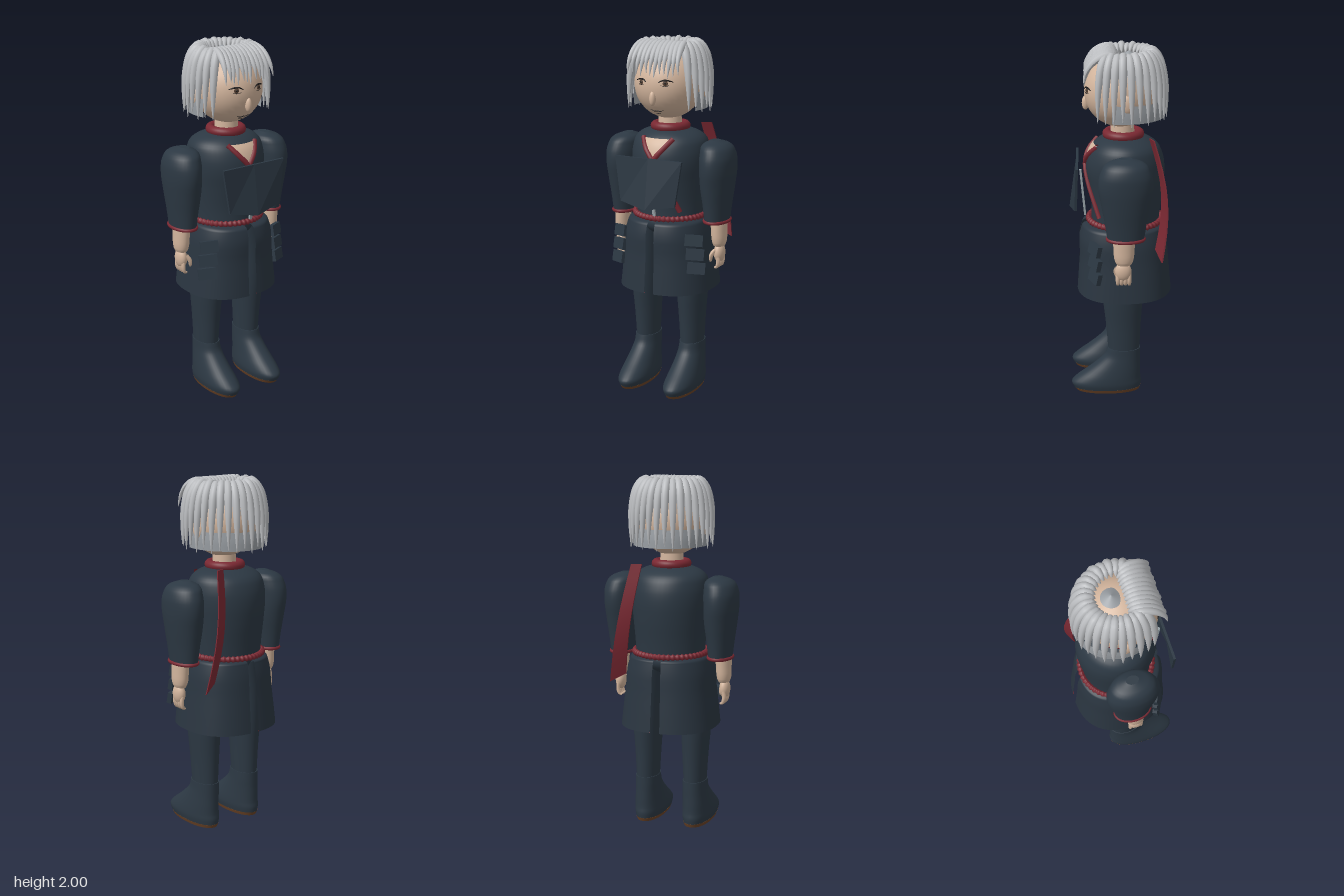
import * as THREE from 'three';

const mat = (name, color, side = THREE.FrontSide) => {
  const m = new THREE.MeshStandardMaterial({ color, side });
  m.name = name;
  return m;
};
const V = (x, y, z) => new THREE.Vector3(x, y, z);

// cubic interpolation through cross-sections [y, cx, cz, rx, rz], listed bottom to top
const profile = (secs) => {
  const it = new THREE.CubicInterpolant(secs.map((s) => s[0]), secs.flatMap((s) => s.slice(1)), 4);
  return (y) => Array.from(it.evaluate(y));
};

// skin a stack of (super)elliptical cross-sections; angle 0 faces +z
function loft(secs, { a0 = 0, a1 = Math.PI * 2, e = 2, n = 36, k = 4 } = {}) {
  const at = profile(secs), full = a1 - a0 > 6.28, cols = full ? n : n + 1;
  const pos = [], idx = [], rows = (secs.length - 1) * k;
  const bend = (v) => Math.sign(v) * Math.abs(v) ** (2 / e);
  for (let i = 0; i <= rows; i++) {
    const s = Math.min(Math.floor(i / k), secs.length - 2);
    const y = THREE.MathUtils.lerp(secs[s][0], secs[s + 1][0], i / k - s);
    const [cx, cz, rx, rz] = at(y);
    for (let j = 0; j < cols; j++) {
      const a = a0 + (a1 - a0) * j / n;
      pos.push(cx + rx * bend(Math.sin(a)), y, cz + rz * bend(Math.cos(a)));
    }
  }
  for (let i = 0; i < rows; i++) for (let j = 0; j < n; j++) {
    const p = i * cols + j, q = i * cols + (j + 1) % cols;
    idx.push(p, q, q + cols, p, q + cols, p + cols);
  }
  // flat end caps on closed lofts
  if (full) for (const top of [false, true]) {
    const src = top ? rows * cols : 0, base = pos.length / 3, [cx, cz] = at(pos[src * 3 + 1]);
    pos.push(cx, pos[src * 3 + 1], cz);
    for (let j = 0; j < n; j++) pos.push(...pos.slice((src + j) * 3, (src + j) * 3 + 3));
    for (let j = 0; j < n; j++) {
      const p = base + 1 + j, q = base + 1 + (j + 1) % n;
      idx.push(base, top ? p : q, top ? q : p);
    }
  }
  const g = new THREE.BufferGeometry();
  g.setAttribute('position', new THREE.Float32BufferAttribute(pos, 3));
  g.setIndex(idx);
  g.computeVertexNormals();
  return g;
}

// tube whose radius varies along its length
function tube(points, r, f = null, { seg = 16, sides = 8, closed = false } = {}) {
  const curve = new THREE.CatmullRomCurve3(points, closed);
  const g = new THREE.TubeGeometry(curve, seg, r, sides, closed);
  if (f) {
    const p = g.attributes.position, v = V(0, 0, 0);
    for (let i = 0; i < p.count; i++) {
      const t = Math.floor(i / (sides + 1)) / seg, c = curve.getPointAt(t);
      v.fromBufferAttribute(p, i).sub(c).multiplyScalar(f(t)).add(c);
      p.setXYZ(i, v.x, v.y, v.z);
    }
    g.computeVertexNormals();
  }
  return g;
}
const ellipse = (cx, y, cz, rx, rz, n = 24) => Array.from({ length: n }, (_, i) =>
  V(cx + rx * Math.sin(i / n * Math.PI * 2), y, cz + rz * Math.cos(i / n * Math.PI * 2)));

export function createModel() {
  const root = new THREE.Group();
  const cloth = mat('dark cloth', 0x2c3843), skirtCloth = mat('skirt cloth', 0x2a3540, THREE.DoubleSide);
  const red = mat('red trim', 0x7a2832, THREE.DoubleSide), skin = mat('skin', 0xd3b59d);
  const hair = mat('silver hair', 0xbcbec1), underHair = mat('under hair', 0x9a9fa4, THREE.DoubleSide);
  const sole = mat('sole brown', 0x6a4327), ink = mat('ink', 0x1d1a1a), iris = mat('iris brown', 0x5a4436);
  const steel = mat('steel', 0x98a3a8);
  const add = (name, geo, m, parent = root) => {
    const mesh = new THREE.Mesh(geo, m);
    mesh.name = name;
    parent.add(mesh);
    return mesh;
  };
  const ball = (name, m, x, y, z, rx, ry, rz) => {
    const b = add(name, new THREE.SphereGeometry(1, 32, 24), m);
    b.position.set(x, y, z);
    b.scale.set(rx, ry, rz);
    return b;
  };

  // torso
  const torso = [[1.0, 0, -.025, .195, .19], [1.1, 0, -.03, .2, .195], [1.22, 0, -.03, .21, .21],
    [1.33, 0, -.025, .22, .22], [1.41, 0, -.025, .215, .205], [1.46, 0, -.025, .195, .175],
    [1.49, 0, -.02, .15, .13], [1.51, 0, -.015, .08, .08]];
  add('torso', loft(torso, { n: 48 }), cloth);
  const torsoAt = profile(torso);
  const torsoZ = (x, y) => {
    const [, cz, rx, rz] = torsoAt(y);
    return cz + rz * Math.sqrt(Math.max(0, 1 - (x / rx) ** 2));
  };
  ball('hips', cloth, 0, .97, -.01, .19, .085, .14);
  add('neck', new THREE.CylinderGeometry(.062, .068, .14, 32).translate(0, 1.55, -.01), skin);
  add('collar', tube(ellipse(0, 1.515, -.015, .085, .09), .026, null, { seg: 48, sides: 12, closed: true }), red);

  // open neckline and crossing lapels
  const neckline = new THREE.PlaneGeometry(2, 1, 10, 8), np = neckline.attributes.position;
  for (let i = 0; i < np.count; i++) {
    const v = np.getY(i) + .5, x = np.getX(i) * .085 * v, y = 1.355 + .11 * v;
    np.setXYZ(i, x, y, torsoZ(x, y) + .005);
  }
  neckline.computeVertexNormals();
  add('neckline', neckline, skin);
  const onChest = (pts) => pts.map(([x, y]) => V(x, y, torsoZ(x, y) + .004));
  add('longLapel', tube(onChest([[-.092, 1.465], [-.05, 1.41], [0, 1.35], [.05, 1.25], [.095, 1.15], [.13, 1.06]]), .014), red);
  add('shortLapel', tube(onChest([[.092, 1.465], [.05, 1.41], [.01, 1.36], [-.02, 1.31]]), .014), red);

  // keeled chest plate with the bar behind it
  const plate = new THREE.BoxGeometry(.41, .25, .014, 2, 1, 1), pp = plate.attributes.position;
  for (let i = 0; i < pp.count; i++) {
    const mid = Math.abs(pp.getX(i)) < .01, low = pp.getY(i) < 0;
    if (low) pp.setXYZ(i, pp.getX(i) * .82, mid ? -.155 : -.125, pp.getZ(i) + (mid ? .04 : .01));
  }
  const flatPlate = plate.toNonIndexed();
  flatPlate.computeVertexNormals();
  add('chestPlate', flatPlate.translate(0, 1.245, .242), cloth);
  const bar = add('chestBar', new THREE.BoxGeometry(.016, .27, .012), steel);
  bar.position.set(.012, 1.175, .213);
  bar.rotation.x = .09;

  // twisted waist cord
  add('waistCord', tube(ellipse(0, 1.02, -.025, .203, .205), .016,
    (t) => 1 + .18 * Math.sin(t * Math.PI * 2 * 50), { seg: 300, closed: true }), red);

  // ribbon hanging down the back
  const ribbon = new THREE.BoxGeometry(1, 1, .008, 1, 8, 1), rp = ribbon.attributes.position;
  for (let i = 0; i < rp.count; i++) {
    const t = .5 - rp.getY(i), w = rp.getX(i) * (.06 + .03 * t);
    rp.setXYZ(i, .15 + .1 * t + w * .92, 1.52 - .64 * t - w * .5 * t,
      -.165 - .04 * t - .05 * Math.sin(t * Math.PI) - w * .35 + rp.getZ(i));
  }
  ribbon.computeVertexNormals();
  add('backRibbon', ribbon, red);

  // mirrored limbs, skirt halves and pouches
  for (const s of [1, -1]) {
    const side = s > 0 ? 'left' : 'right';
    const gap = .065, range = s > 0 ? [gap, Math.PI - gap] : [gap - Math.PI, -gap];
    const skirt = [[.6, 0, -.02, .275, .27], [.8, 0, -.018, .252, .253], [.985, 0, -.015, .225, .235],
      [1.0, 0, -.018, .215, .225], [1.012, 0, -.02, .19, .19]];
    add(side + 'Skirt', loft(skirt, { a0: range[0], a1: range[1], e: 2.4, n: 40 }), skirtCloth);
    const hem = Array.from({ length: 25 }, (_, i) => {
      const a = range[0] + (range[1] - range[0]) * i / 24, b = (v) => Math.sign(v) * Math.abs(v) ** (2 / 2.4);
      return V(.271 * b(Math.sin(a)), .602, -.02 + .266 * b(Math.cos(a)));
    });
    add(side + 'HemTrim', tube(hem, .003, null, { seg: 48, sides: 6 }), red);

    const m = (secs) => secs.map(([y, cx, ...r]) => [y, cx * s, ...r]);
    add(side + 'Sleeve', loft(m([[1.0, .293, -.02, .064, .1], [1.1, .293, -.02, .075, .115], [1.2, .293, -.02, .088, .133],
      [1.31, .296, -.02, .094, .148], [1.39, .292, -.02, .09, .132], [1.435, .282, -.02, .068, .095],
      [1.455, .275, -.02, .025, .035]])), cloth);
    add(side + 'Cuff', tube(ellipse(.293 * s, 1.003, -.02, .064, .1), .01, null, { seg: 40, closed: true }), red);
    add(side + 'Forearm', loft(m([[.86, .312, -.01, .03, .04], [.88, .312, -.01, .038, .05],
      [.95, .31, -.01, .043, .058], [1.02, .307, -.012, .045, .06]]), { n: 24 }), skin);

    // hand
    ball(side + 'Palm', skin, .316 * s, .82, -.006, .03, .056, .045);
    for (let i = 0; i < 4; i++) {
      const z = .024 - i * .021;
      add(side + 'Finger', tube([V(.318 * s, .81, z), V(.322 * s, .77, z), V(.312 * s, .74, z), V(.298 * s, .737, z)],
        .012, (t) => 1 - .6 * t ** 5, { seg: 10 }), skin);
    }
    add(side + 'Thumb', tube([V(.305 * s, .84, .025), V(.285 * s, .81, .035), V(.278 * s, .77, .03)],
      .013, (t) => 1 - .6 * t ** 4, { seg: 10 }), skin);

    // leg, boot and sole
    add(side + 'Leg', loft(m([[.25, .145, -.015, .063, .09], [.42, .145, -.012, .072, .1],
      [.6, .146, -.008, .084, .115], [.8, .14, -.008, .09, .122], [.96, .12, -.01, .09, .125]])), cloth);
    add(side + 'Boot', loft(m([[.018, .147, .083, .082, .195], [.05, .147, .087, .088, .203], [.08, .147, .075, .087, .187],
      [.13, .147, .042, .08, .153], [.18, .146, .012, .073, .122], [.22, .145, -.007, .069, .103],
      [.27, .145, -.015, .067, .095]]), { e: 2.15 }), cloth);
    add(side + 'Sole', loft(m([[0, .147, .08, .076, .185], [.02, .147, .083, .083, .196]]), { e: 2.15 }), sole);

    // three stacked pouches
    for (let i = 0; i < 3; i++) {
      const pouch = add(side + 'Pouch', new THREE.BoxGeometry(.1, .063, .028), cloth);
      pouch.position.set((.23 + i * .008) * s, .915 - i * .079, .148);
      pouch.rotation.set(-.2, s * .5, -s * .08, 'YXZ');
    }
  }

  // head and face
  ball('head', skin, 0, 1.755, 0, .19, .195, .2);
  const onFace = (x, y, off = .002) => V(x, y, .2 * Math.sqrt(1 - (x / .19) ** 2 - ((y - 1.755) / .195) ** 2) + off);
  const line = (name, pts, r) => add(name, tube(pts.map(([x, y]) => onFace(x, y)), r,
    (t) => .3 + .7 * Math.sin(Math.PI * t), { sides: 6 }), ink);
  ball('nose', skin, 0, 1.69, .192, .018, .04, .02);
  line('mouth', [[-.042, 1.622], [-.015, 1.614], [0, 1.617], [.015, 1.614], [.042, 1.622]], .003);
  line('lowerLip', [[-.018, 1.601], [0, 1.598], [.018, 1.601]], .002);
  for (const s of [1, -1]) {
    const ear = ball('ear', skin, .197 * s, 1.725, -.03, .02, .05, .036);
    ear.rotation.x = .15;
    line('upperLid', [[.036 * s, 1.777], [.055 * s, 1.789], [.08 * s, 1.791], [.112 * s, 1.782]], .005);
    line('lowerLid', [[.05 * s, 1.764], [.073 * s, 1.759], [.095 * s, 1.766]], .0018);
    const c = onFace(.073 * s, 1.775, 0);
    for (const [name, m, r, d] of [['iris', iris, .014, .004], ['pupil', ink, .007, .006]]) {
      const e = ball(name, m, c.x, c.y, c.z, r, r, d);
      e.rotation.y = .4 * s;
    }
  }

  // crown patch and band of hair round the nape
  add('crownHair', new THREE.ConeGeometry(.055, .035, 32).translate(0, 1.96, -.045), underHair);
  add('napeHair', loft([[1.62, 0, -.02, .205, .225], [1.67, 0, -.02, .208, .225], [1.72, 0, -.02, .207, .22]],
    { a0: 1.25, a1: Math.PI * 2 - 1.25, n: 48 }), underHair);

  // strands falling round the sides and back
  const taper = (t) => Math.sqrt(Math.min(1, t * 5 + .02)) * (1 - .95 * t ** 2.5);
  const arc = [[.11, 1.945], [.15, 1.978], [.198, 1.93], [.228, 1.83], [.238, 1.72], [.24, 1.62]];
  for (let i = 0; i < 23; i++) {
    const a = (i - 11) * 11.4 * Math.PI / 180;
    const drop = .015 * Math.sin(i * 2.7);
    add('hairStrand', tube(arc.map(([r, y], j) =>
      V(.95 * r * Math.sin(a), y + drop * j / 5, -.012 - r * Math.cos(a))), .024, taper, { seg: 22, sides: 10 }), hair);
  }
  // fringe combed forward over the brow
  for (let i = 0; i < 12; i++) {
    const x = -.112 + i * .0205, sway = .012 * Math.sin(i * 1.9);
    add('fringeStrand', tube([V(x, 1.94, .012), V(x * 1.1, 1.976, .06), V(x * 1.22, 1.955, .13),
      V(x * 1.32, 1.89, .183 + sway * .4), V(x * 1.36 + sway * .5, 1.815 + sway, .2)],
    .021, taper, { seg: 18, sides: 10 }), hair);
  }
  return root;
}
